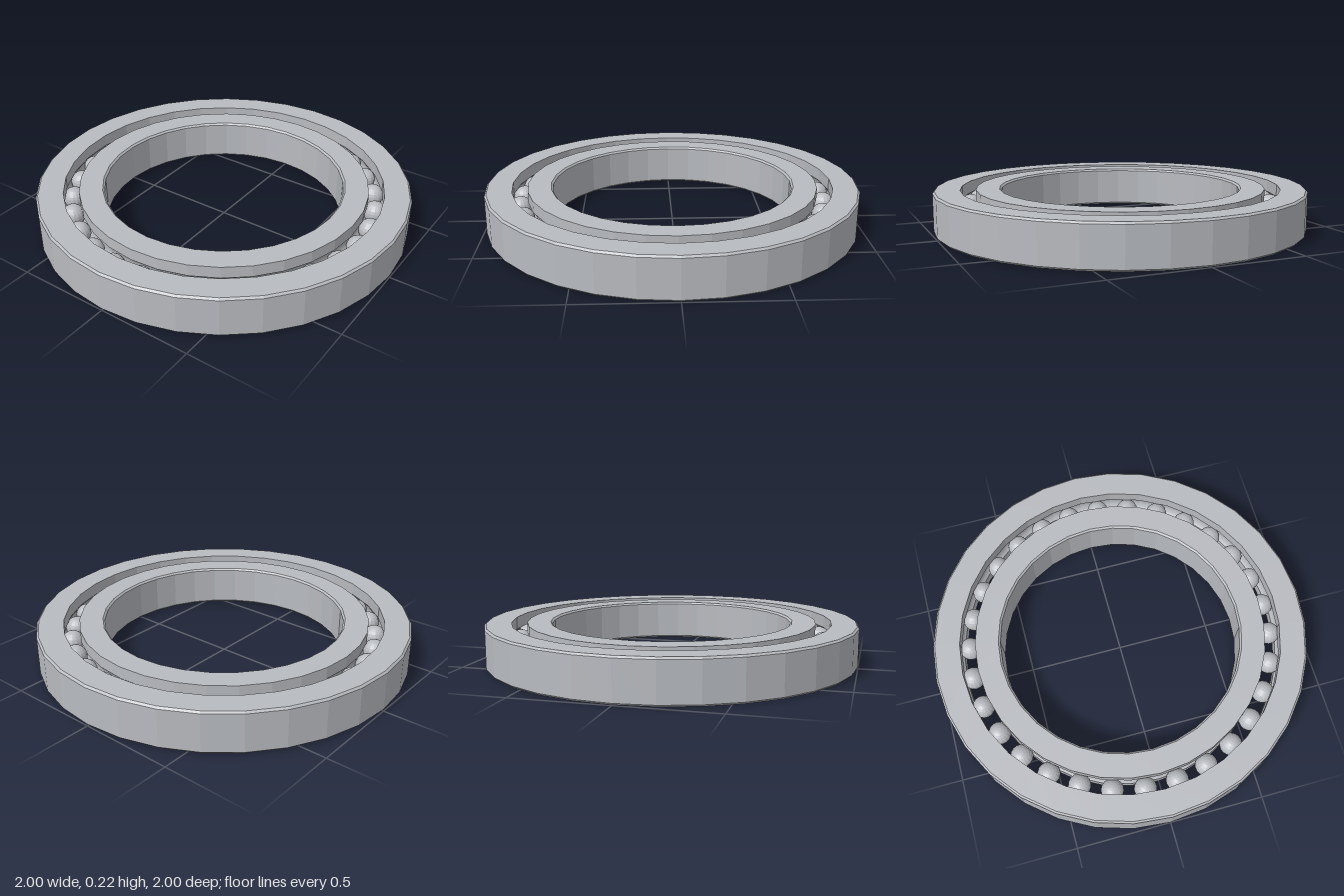
import * as THREE from 'three';

const HEIGHT = 0.22, MID = HEIGHT / 2, BEVEL = 0.01;
const BALL_RADIUS = 0.06, PITCH_RADIUS = 0.816, BALLS = 30, SIDES = 32;

// Give every facet its own normal
function faceted(geometry) {
  const flat = geometry.toNonIndexed();
  flat.computeVertexNormals();
  return flat;
}

// Raceway arc around the ball centre, listed from angle a to angle b
function groove(a, b) {
  const r = BALL_RADIUS + 0.002, points = [];
  for (let i = 0; i <= 8; i++) {
    const t = a + (b - a) * i / 8;
    points.push([PITCH_RADIUS + r * Math.cos(t), MID + r * Math.sin(t)]);
  }
  return points;
}

function ring(name, profile, material) {
  const points = [...profile, profile[0]].map(([x, y]) => new THREE.Vector2(x, y));
  const mesh = new THREE.Mesh(faceted(new THREE.LatheGeometry(points, SIDES)), material);
  mesh.name = name;
  return mesh;
}

export function createModel() {
  const group = new THREE.Group();
  group.name = 'ballBearing';
  const steel = new THREE.MeshStandardMaterial({ color: 0xb8bbc0 });
  steel.name = 'steel';

  // Outer ring: bevelled outside, grooved inside
  const outerBore = 0.858, a = Math.acos((outerBore - PITCH_RADIUS) / (BALL_RADIUS + 0.002));
  group.add(ring('outerRing', [
    [outerBore, 0], [1 - BEVEL, 0], [1, BEVEL], [1, HEIGHT - BEVEL], [1 - BEVEL, HEIGHT],
    [outerBore, HEIGHT], ...groove(a, -a),
  ], steel));

  // Inner ring: grooved outside, bevelled bore
  const innerRim = 0.776, bore = 0.642;
  const b = Math.acos((innerRim - PITCH_RADIUS) / (BALL_RADIUS + 0.002));
  group.add(ring('innerRing', [
    [bore + BEVEL, 0], [innerRim, 0], ...groove(2 * Math.PI - b, b), [innerRim, HEIGHT],
    [bore + BEVEL, HEIGHT], [bore, HEIGHT - BEVEL], [bore, BEVEL],
  ], steel));

  // Balls running between the rings
  const balls = new THREE.Group();
  balls.name = 'balls';
  const ballGeometry = faceted(new THREE.SphereGeometry(BALL_RADIUS, 16, 12));
  for (let i = 0; i < BALLS; i++) {
    const t = i / BALLS * Math.PI * 2;
    const ball = new THREE.Mesh(ballGeometry, steel);
    ball.name = 'ball';
    ball.position.set(PITCH_RADIUS * Math.cos(t), MID, PITCH_RADIUS * Math.sin(t));
    ball.rotation.y = -t;
    balls.add(ball);
  }
  group.add(balls);
  return group;
}
